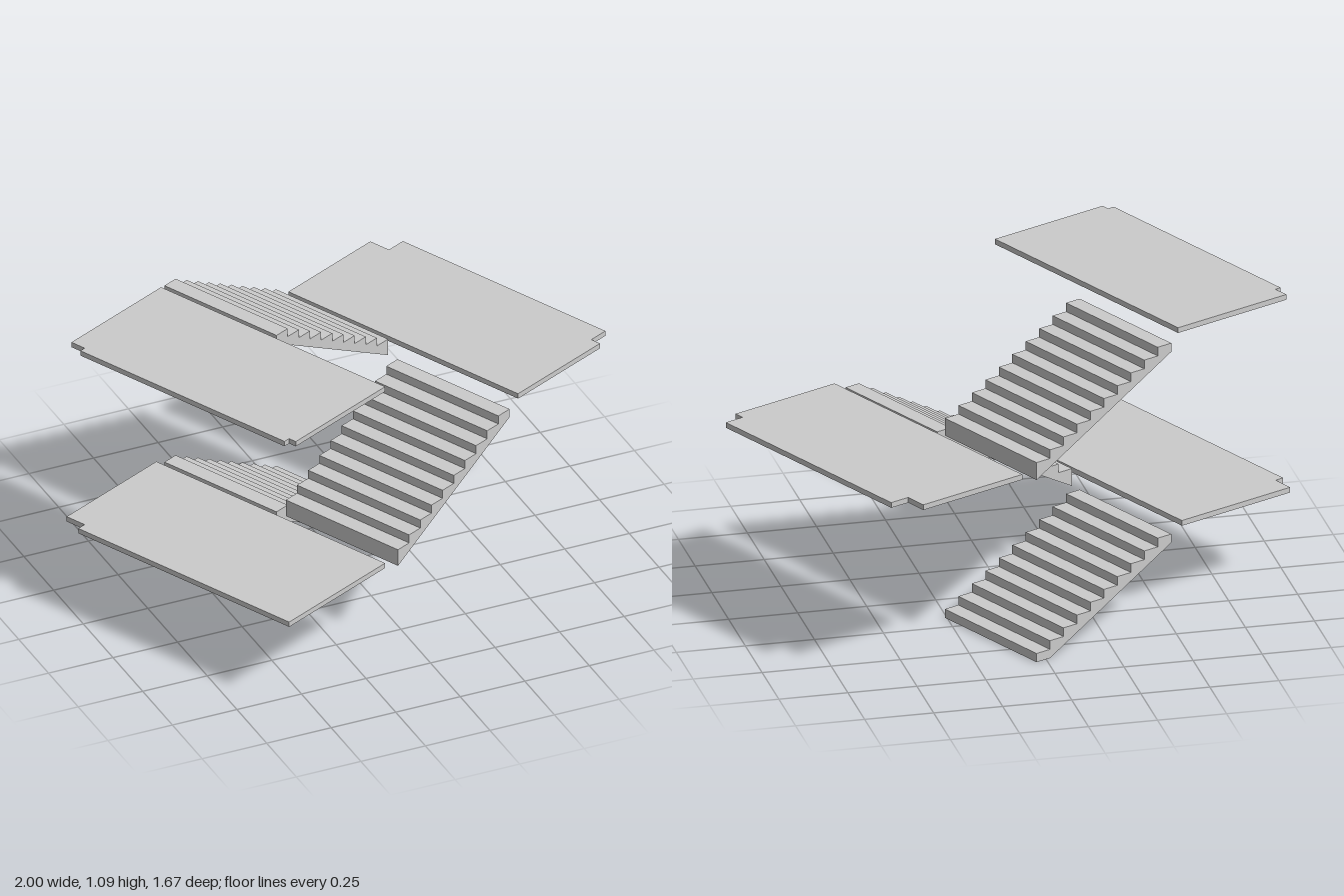
import * as THREE from 'three';

const STEPS = 10;
const RISE = 0.0331;
const RUN = 0.606;
const TREAD = RUN / STEPS;
const FLOOR = RISE * (STEPS + 1); // height from one landing to the next
const SLAB = 0.02;

const material = new THREE.MeshStandardMaterial({ color: 0xcccccc, flatShading: true });

function extruded(name, points, depth) {
  const shape = new THREE.Shape(points.map(([x, y]) => new THREE.Vector2(x, y)));
  const geometry = new THREE.ExtrudeGeometry(shape, { depth, bevelEnabled: false });
  const mesh = new THREE.Mesh(geometry, material);
  mesh.name = name;
  return mesh;
}

// Stair flight climbing towards dir (+1 or -1 on local x), with a sloping underside
function flight(name, base, dir, zMin, zMax, onGround) {
  const half = RUN / 2;
  const points = [];
  for (let i = 0; i < STEPS; i++) {
    const x = -half + i * TREAD;
    points.push([x, (i + 1) * RISE], [x + TREAD, (i + 1) * RISE]);
  }
  points.push([half, (STEPS - 1) * RISE]);
  // The lowest flight is cut level with the floor
  if (onGround) points.push([-half + TREAD, 0], [-half, 0]);
  else points.push([-half, -RISE]);
  const mesh = extruded(name, points.map(([x, y]) => [x * dir, y]), zMax - zMin);
  mesh.position.set(0, base, zMin);
  return mesh;
}

// Flat slab from a plan outline of [x, z] corners
function landing(name, top, outline) {
  const mesh = extruded(name, outline.map(([x, z]) => [x, -z]), SLAB);
  mesh.geometry.rotateX(-Math.PI / 2);
  mesh.position.y = top - SLAB;
  return mesh;
}

export function createModel() {
  const stairs = new THREE.Group();
  stairs.name = 'staircase';

  // Three flights, switching direction at each landing
  stairs.add(
    flight('lowerFlight', 0, -1, -0.56, -0.042, true),
    flight('middleFlight', FLOOR, 1, 0.001, 0.519, false),
    flight('upperFlight', 2 * FLOOR, -1, -0.56, -0.042, false)
  );

  // Landings with small notches at their outer corners
  stairs.add(
    landing('lowerLanding', FLOOR, [
      [-0.36, -0.549], [-0.847, -0.549], [-0.847, -0.466], [-0.881, -0.466],
      [-0.881, 0.508], [-0.36, 0.508],
    ]),
    landing('middleLanding', 2 * FLOOR, [
      [0.36, -0.551], [0.805, -0.551], [0.805, -0.465], [0.881, -0.465],
      [0.881, 0.47], [0.805, 0.47], [0.805, 0.51], [0.36, 0.51],
    ]),
    landing('upperLanding', 3 * FLOOR, [
      [-0.36, -0.527], [-0.847, -0.527], [-0.847, -0.466], [-0.87, -0.466],
      [-0.87, 0.477], [-0.845, 0.477], [-0.845, 0.508], [-0.36, 0.508],
    ])
  );

  // The whole stair stands at an angle in plan
  stairs.rotation.y = THREE.MathUtils.degToRad(24.9);

  const model = new THREE.Group();
  model.name = 'switchbackStairs';
  model.add(stairs);
  return model;
}
